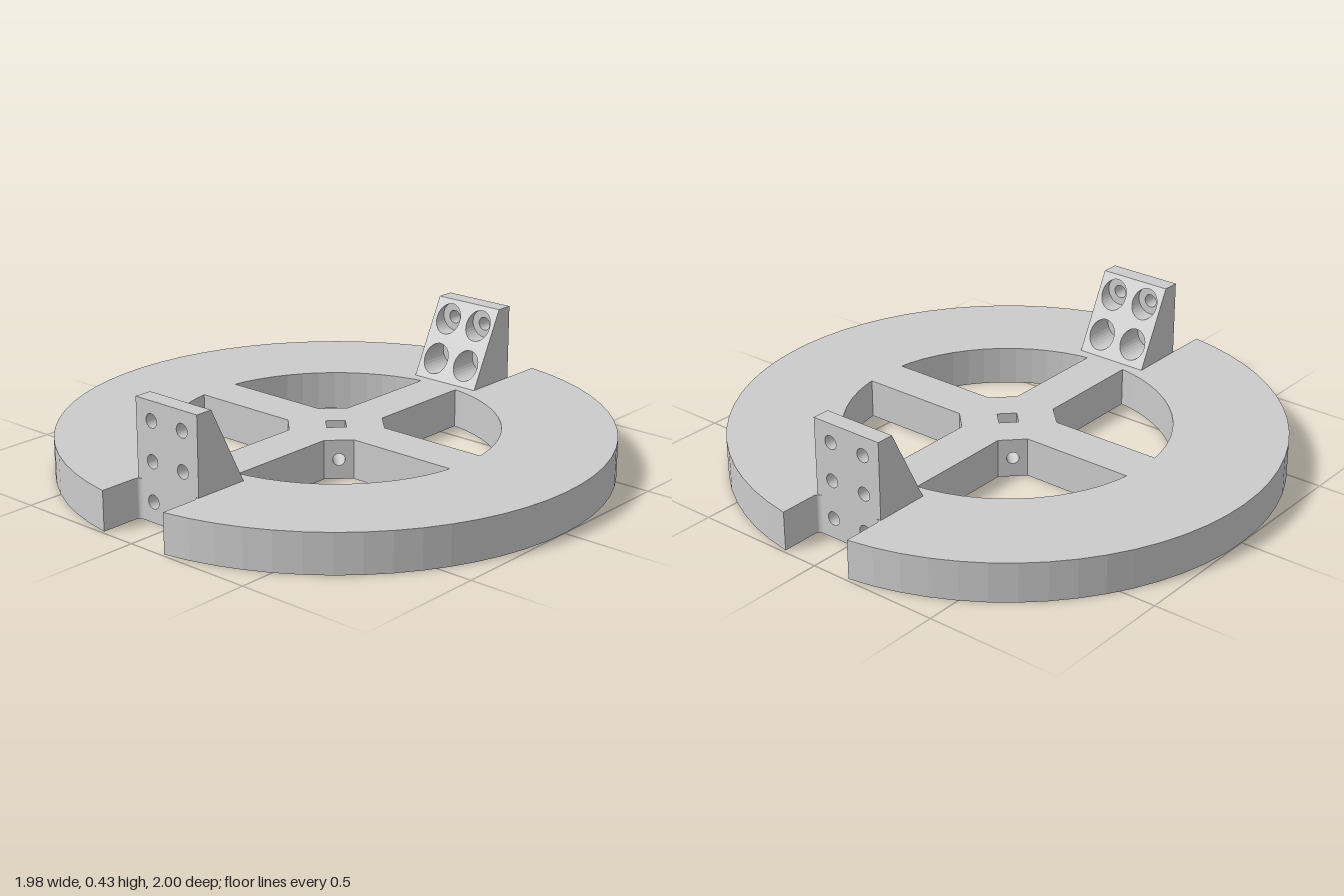
import * as THREE from 'three';

const H = 0.145;      // disc thickness
const N = 0.142;      // half width of notches and brackets
const WALL = 0.77;    // inner face of the bracket plate
const FACE = 0.83;    // outer face of the bracket plate
const SLOT = 0.71;    // inner wall of the underside slot
const TOP = 0.43;     // bracket height
const BORE = 0.59;    // inner radius of the ring
const S = 0.083;      // half width of a spoke
const C = 0.157;      // where the hub chamfers start
const D = 0.05;       // half diagonal of the square centre hole

const material = new THREE.MeshStandardMaterial({ color: 0xcccccc, flatShading: true });

function mesh(name, geometry) {
  const m = new THREE.Mesh(geometry, material);
  m.name = name;
  return m;
}

const polygon = (pts) => new THREE.Shape(pts.map(([x, y]) => new THREE.Vector2(x, y)));

function addHole(shape, x, y, r) {
  shape.holes.push(new THREE.Path().absarc(x, y, r, 0, Math.PI * 2, true));
}

const extrude = (shape, depth) =>
  new THREE.ExtrudeGeometry(shape, { depth, bevelEnabled: false, curveSegments: 15 });

// Plan outline raised along y
const raise = (shape, height) => extrude(shape, height).rotateX(-Math.PI / 2);

// Side outline (u = width, v = height) pushed outward along x
const pushOut = (shape, x0, x1) =>
  extrude(shape, x1 - x0).rotateY(Math.PI / 2).translate(x0, 0, 0);

// Apply a rule to every vertex
function reshape(geometry, rule) {
  const p = geometry.attributes.position;
  const v = new THREE.Vector3();
  for (let i = 0; i < p.count; i++) {
    v.fromBufferAttribute(p, i);
    rule(v);
    p.setXYZ(i, v.x, v.y, v.z);
  }
  geometry.computeVertexNormals();
  return geometry;
}

// Ring with two filleted notches
function makeRing() {
  const a = Math.asin(N), f = 0.022;
  const s = new THREE.Shape();
  const notch = (k) => {
    s.lineTo(k * (FACE + f), -k * N);
    s.quadraticCurveTo(k * FACE, -k * N, k * FACE, -k * (N - f));
    for (const [x, z] of [[FACE, -N], [SLOT, -N], [SLOT, N], [FACE, N], [FACE, N - f]]) s.lineTo(k * x, k * z);
    s.quadraticCurveTo(k * FACE, k * N, k * (FACE + f), k * N);
  };
  s.moveTo(Math.cos(a), Math.sin(a));
  s.absarc(0, 0, 1, a, Math.PI - a, false);
  notch(-1);
  s.absarc(0, 0, 1, Math.PI + a, Math.PI * 2 - a, false);
  notch(1);
  const bore = new THREE.Path();
  bore.absarc(0, 0, BORE, 0, -Math.PI, true);
  bore.absarc(0, 0, BORE, -Math.PI, -Math.PI * 2, true);
  s.holes.push(bore);
  return mesh('ring', raise(s, H));
}

// Spoke running from the centre hole to the ring
function makeSpoke() {
  const a = Math.asin(S / BORE);
  const s = new THREE.Shape();
  s.moveTo(D, 0);
  s.lineTo(C, -S);
  s.absarc(0, 0, BORE, -a, a, false);
  s.lineTo(C, S);
  return mesh('spoke', raise(s, H));
}

// Tapered hub corner with a set-screw hole through it
function makeHubCorner() {
  const r0 = D / Math.SQRT2, r1 = (C + S) / Math.SQRT2, w = (C - S) / Math.SQRT2;
  const s = polygon([[-w, 0], [w, 0], [w, H], [-w, H]]);
  addHole(s, 0, H / 2, 0.022);
  const g = reshape(pushOut(s, r0, r1), (v) => {
    if (v.x < r0 + 0.001 && Math.abs(v.z) > w - 0.001) v.z = Math.sign(v.z) * r0;
  });
  return mesh('hubCorner', g);
}

// Upright bracket: drilled plate, sloping counterbored brace, roof of the slot
function makeBracket() {
  const bracket = new THREE.Group();
  bracket.name = 'bracket';
  const rows = [0.075, 0.218, 0.36], z = 0.071;

  const plate = polygon([[-N, 0], [N, 0], [N, TOP], [-N, TOP]]);
  for (const y of rows) for (const k of [-1, 1]) addHole(plate, k * z, y, 0.025);
  bracket.add(mesh('plate', pushOut(plate, WALL, FACE)));

  const brace = polygon([[-N, H], [N, H], [N, TOP], [-N, TOP]]);
  for (const y of rows.slice(1)) for (const k of [-1, 1]) addHole(brace, k * z, y, 0.054);
  const slope = (0.765 - 0.622) / (TOP - H);
  bracket.add(mesh('brace', reshape(pushOut(brace, 0.6, WALL), (v) => {
    if (v.x < 0.7) v.x = 0.622 + slope * (v.y - H);
  })));

  const roof = new THREE.BoxGeometry(WALL - SLOT, 0.015, 2 * N);
  roof.translate((WALL + SLOT) / 2, H - 0.0075, 0);
  bracket.add(mesh('slotRoof', roof));
  return bracket;
}

export function createModel() {
  const model = new THREE.Group();
  model.name = 'spokedDiscWithBrackets';
  model.add(makeRing());
  for (let i = 0; i < 4; i++) {
    const spoke = makeSpoke();
    spoke.rotation.y = i * Math.PI / 2;
    const corner = makeHubCorner();
    corner.rotation.y = (i + 0.5) * Math.PI / 2;
    model.add(spoke, corner);
  }
  for (const turn of [0, Math.PI]) {
    const bracket = makeBracket();
    bracket.rotation.y = turn;
    model.add(bracket);
  }
  return model;
}
